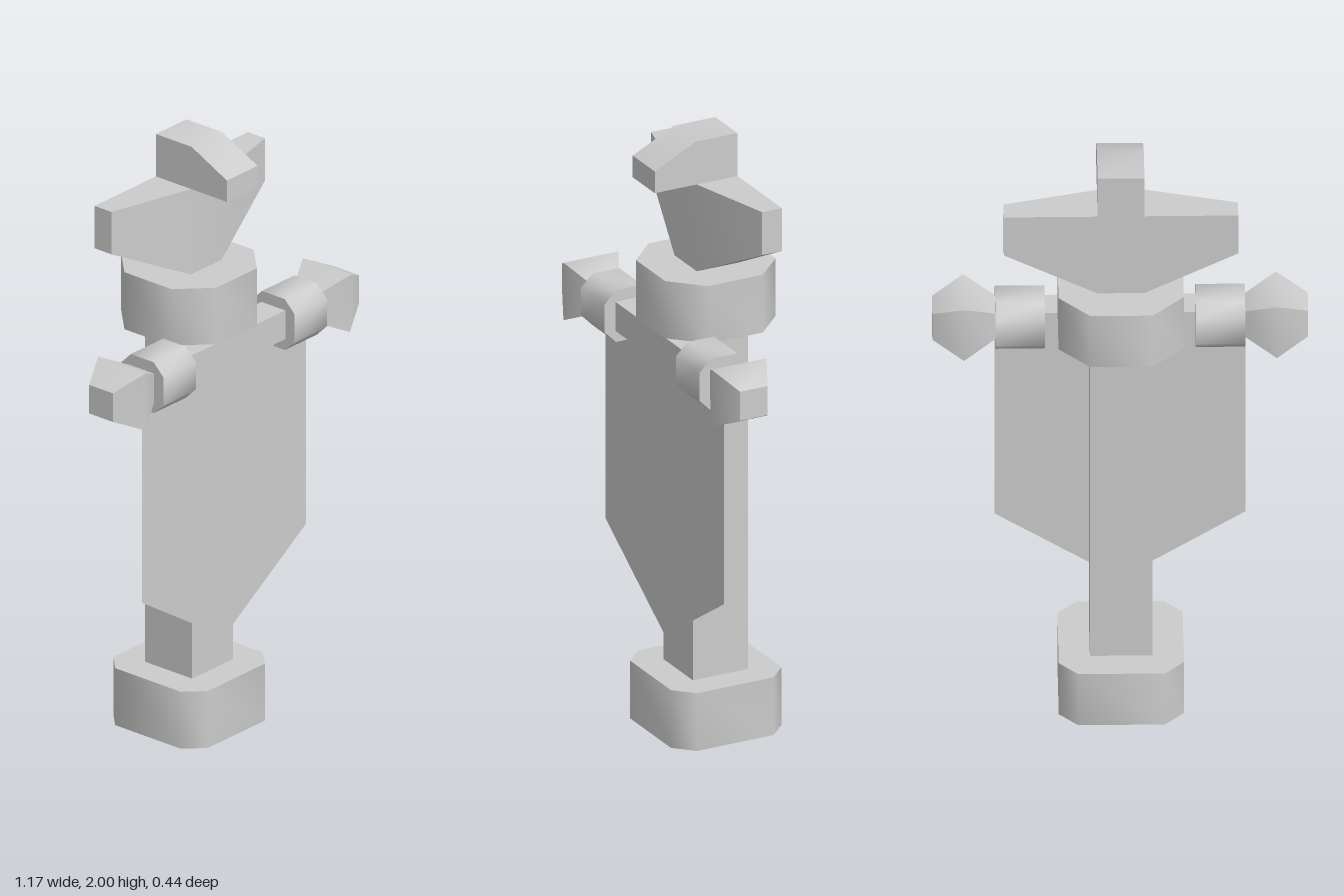
import * as THREE from 'three';
import { toCreasedNormals } from 'three/addons/utils/BufferGeometryUtils.js';

const CREASE = THREE.MathUtils.degToRad(60);
const material = new THREE.MeshStandardMaterial({ color: 0xcccccc });
const clothMaterial = new THREE.MeshStandardMaterial({ color: 0xcccccc, side: THREE.DoubleSide });

const polygon = (points) => new THREE.Shape(points.map(([x, y]) => new THREE.Vector2(x, y)));

const extrude = (points, depth) =>
  new THREE.ExtrudeGeometry(polygon(points), { depth, bevelEnabled: false });

// Square of half width h with corners cut by c
const cutSquare = (h, c) => [
  [h, c - h], [h, h - c], [h - c, h], [c - h, h],
  [-h, h - c], [-h, c - h], [c - h, -h], [h - c, -h],
];

// Solid through rectangular sections along x: [x, y0, y1, z0, z1]
function loft(sections) {
  const positions = [];
  const index = [];
  sections.forEach(([x, y0, y1, z0, z1], i) => {
    positions.push(x, y0, z0, x, y1, z0, x, y1, z1, x, y0, z1);
    if (i === sections.length - 1) return;
    for (let j = 0; j < 4; j++) {
      const a = i * 4 + j;
      const b = i * 4 + ((j + 1) % 4);
      index.push(a, b, b + 4, a, b + 4, a + 4);
    }
  });
  const e = (sections.length - 1) * 4;
  index.push(0, 2, 1, 0, 3, 2, e, e + 1, e + 2, e, e + 2, e + 3);
  const geometry = new THREE.BufferGeometry();
  geometry.setAttribute('position', new THREE.Float32BufferAttribute(positions, 3));
  geometry.setIndex(index);
  return geometry;
}

export function createModel() {
  const group = new THREE.Group();
  const add = (name, geometry, x = 0, y = 0, z = 0, mat = material) => {
    const mesh = new THREE.Mesh(toCreasedNormals(geometry, CREASE), mat);
    mesh.name = name;
    mesh.position.set(x, y, z);
    group.add(mesh);
    return mesh;
  };

  const poleZ = -0.024;
  const barY = 1.32;
  const barZ = 0.12;

  // Base, pole and capital
  add('base', extrude(cutSquare(0.195, 0.06), 0.195).rotateX(-Math.PI / 2), 0, 0, poleZ);
  add('pole', new THREE.BoxGeometry(0.195, 1.175, 0.195), 0, 0.7825, poleZ);
  add('capital', extrude(cutSquare(0.195, 0.098), 0.195).rotateX(-Math.PI / 2), 0, 1.367, poleZ);

  // Crossbar with collars and faceted knobs at both ends
  add('crossbar', new THREE.BoxGeometry(0.78, 0.098, 0.098), 0, barY, barZ);
  for (const [side, label] of [[1, 'left'], [-1, 'right']]) {
    const collar = extrude(cutSquare(0.087, 0.04), 0.154).rotateY(Math.PI / 2);
    add(label + 'Collar', collar.translate(-0.077, 0, 0), side * 0.312, barY, barZ);
    const knob = loft([[-0.098, 0.049], [0, 0.097], [0.098, 0.049]].map(([x, h]) => [x, -h, h, -h, h]));
    add(label + 'Knob', knob, side * 0.487, barY, barZ);
  }

  // Thin pointed banner hanging from the crossbar
  const cloth = polygon([[-0.39, 1.32], [-0.39, 0.57], [0, 0.32], [0.39, 0.57], [0.39, 1.32]]);
  add('banner', new THREE.ShapeGeometry(cloth), 0, 0, barZ, clothMaterial);

  // Winged finial, flat at the back and tapering to the sides
  add('finialWings', loft([
    [-0.365, 1.71, 1.855, -0.097, -0.027],
    [-0.073, 1.562, 1.855, -0.097, 0.047],
    [0.073, 1.562, 1.855, -0.097, 0.047],
    [0.365, 1.71, 1.855, -0.097, -0.027],
  ]));

  // Beak-like crest on top of the finial
  const crest = extrude([[-0.097, 1.855], [0.195, 1.855], [0.195, 1.928], [0.05, 2], [-0.097, 2]], 0.146);
  add('finialCrest', crest.rotateY(-Math.PI / 2), 0.073);

  return group;
}
